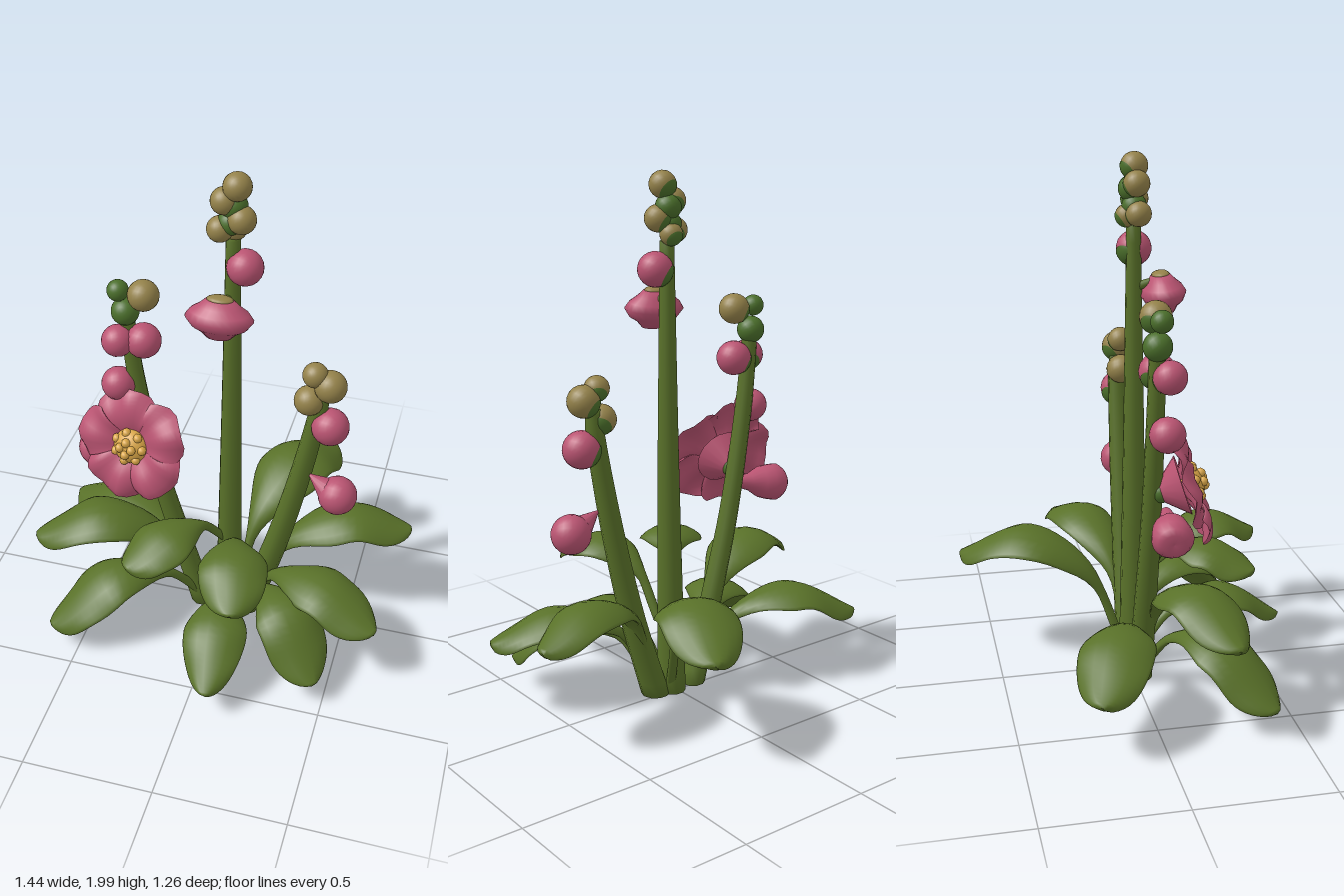
import * as THREE from 'three';

const V = (x, y, z) => new THREE.Vector3(x, y, z);
const UP = V(0, 1, 0);
const mat = (name, color, side = THREE.FrontSide) => {
  const m = new THREE.MeshStandardMaterial({ color, side });
  m.name = name;
  return m;
};

// Surface from rows of points, each row closed into a ring
function loft(rows, cols, point) {
  const pos = [], idx = [];
  for (let i = 0; i <= rows; i++)
    for (let j = 0; j < cols; j++) pos.push(...point(i / rows, j / cols * Math.PI * 2).toArray());
  for (let i = 0; i < rows; i++)
    for (let j = 0; j < cols; j++) {
      const k = (j + 1) % cols, a = i * cols + j, b = i * cols + k, c = a + cols, d = b + cols;
      idx.push(a, b, c, b, d, c);
    }
  const g = new THREE.BufferGeometry();
  g.setAttribute('position', new THREE.Float32BufferAttribute(pos, 3));
  g.setIndex(idx);
  g.computeVertexNormals();
  return g;
}

export function createModel() {
  const root = new THREE.Group();
  root.name = 'floweringPlant';
  const green = mat('leaf green', 0x597129, THREE.DoubleSide);
  const budGreen = mat('calyx green', 0x4b6f2b);
  const olive = mat('bud olive', 0x94824a);
  const pink = mat('petal pink', 0xba5472, THREE.DoubleSide);
  const yellow = mat('stamen yellow', 0xdca848);

  const add = (parent, name, geo, m) => {
    const mesh = new THREE.Mesh(geo, m);
    mesh.name = name;
    parent.add(mesh);
    return mesh;
  };
  const aim = (obj, dir) => obj.quaternion.setFromUnitVectors(UP, dir.clone().normalize());

  // Tapered stems with closed ends
  function stem(name, points, r0, r1) {
    const curve = new THREE.CatmullRomCurve3(points.map(p => V(...p)));
    add(root, name, loft(26, 10, (s, a) => {
      const t = THREE.MathUtils.clamp((s * 26 - 1) / 24, 0, 1);
      const r = s === 0 || s === 1 ? 0 : THREE.MathUtils.lerp(r0, r1, t);
      return curve.getPoint(t).add(V(Math.cos(a) * r, 0, -Math.sin(a) * r));
    }), green);
  }
  stem('middleStem', [[0.015, 0.01, 0.015], [0.025, 0.9, 0.02], [0.03, 1.75, 0.02]], 0.055, 0.026);
  stem('rightStem', [[-0.095, 0.01, 0.02], [-0.19, 0.36, 0.02], [-0.27, 0.68, 0.02],
    [-0.34, 1.1, 0.02], [-0.37, 1.42, 0.02]], 0.047, 0.028);
  stem('leftStem', [[0.09, 0.015, 0.02], [0.195, 0.35, 0.02], [0.29, 0.75, 0.02],
    [0.35, 1.08, 0.02], [0.36, 1.18, 0.02]], 0.055, 0.028);

  // Arching leaves: base, tip, peak height, half width, bluntness of the tip
  function leaf(base, tip, peak, half, blunt = 3) {
    const b = V(...base), e = V(...tip);
    const at = (f, y) => V(b.x + (e.x - b.x) * f, y, b.z + (e.z - b.z) * f);
    const curve = new THREE.CatmullRomCurve3(
      [b, at(0.24, b.y + (peak - b.y) * 0.74), at(0.6, peak), e]);
    const side = V(e.z - b.z, 0, b.x - e.x).normalize();
    add(root, 'leaf', loft(28, 18, (s, a) => {
      const t = 1 - Math.pow(1 - s, 1.5);
      let w = 0.018 + (half - 0.018) * THREE.MathUtils.smoothstep(t, 0.22, 0.64);
      if (t > 0.64) w *= Math.pow(Math.max(0, 1 - Math.pow((t - 0.64) / 0.36, blunt)), 0.55);
      const u = Math.cos(a), thick = Math.min(0.016, w * 0.9);
      const n = curve.getTangentAt(t).cross(side);
      const ripple = 0.008 * Math.sin(t * 22 + u * 2) * u * u * t;
      const crease = 0.008 * t * Math.exp(-u * u * 40);
      const lift = Math.sin(a) * thick - 0.34 * w * u * u + ripple - crease;
      return curve.getPointAt(t).addScaledVector(side, u * w).addScaledVector(n, lift);
    }), green);
  }
  [
    [[0.04, 0.06, -0.01], [0.31, 0.41, -0.625], 0.53, 0.147],
    [[-0.09, 0.06, 0.01], [-0.715, 0.24, -0.235], 0.37, 0.135],
    [[-0.1, 0.08, 0.02], [-0.715, 0.40, 0.24], 0.52, 0.13],
    [[-0.09, 0.05, 0.03], [-0.61, 0.09, 0.41], 0.29, 0.135],
    [[0.0, 0.40, 0.04], [-0.28, 0.49, 0.41], 0.57, 0.125],
    [[0.05, 0.30, 0.05], [0.165, 0.48, 0.53], 0.575, 0.13],
    [[0.03, 0.06, 0.04], [0.09, 0.13, 0.625], 0.28, 0.122, 1.9],
    [[0.1, 0.06, 0.03], [0.465, 0.11, 0.45], 0.32, 0.13],
    [[0.1, 0.08, 0.02], [0.66, 0.27, 0.28], 0.38, 0.13],
    [[0.1, 0.08, 0.01], [0.715, 0.41, -0.185], 0.5, 0.12],
  ].forEach(l => leaf(...l));

  // Round buds; calyx is the half angle of the green cap turned to the stem
  function bud(x, y, z, r, m, stemX, calyx) {
    const g = new THREE.Group();
    g.name = 'bud';
    g.position.set(x, y, z);
    add(g, 'budBall', new THREE.SphereGeometry(r, 20, 14), m);
    if (calyx)
      add(g, 'calyx', new THREE.SphereGeometry(r * 1.03, 20, 8, 0, Math.PI * 2, 0, calyx), budGreen);
    aim(g, V(stemX - x, -0.035, -0.05));
    root.add(g);
  }
  [
    [0.045, 1.948, 0.025, 0.05, olive, 0.03, 0.95], [0.0, 1.89, 0.025, 0.048, olive, 0.03, 0.95],
    [0.062, 1.83, 0.03, 0.05, olive, 0.03, 0.9], [-0.014, 1.785, 0.03, 0.046, olive, 0.03, 0.9],
    [0.03, 1.775, -0.005, 0.042, olive, 0.03, 0.9], [0.03, 1.87, 0.012, 0.048, budGreen, 0.03, 0],
    [0.02, 1.81, 0.02, 0.045, budGreen, 0.03, 0],
    [0.075, 1.65, 0.03, 0.065, pink, 0.03, 0.75],
    [-0.39, 1.48, 0.03, 0.04, budGreen, -0.37, 0], [-0.295, 1.475, 0.03, 0.058, olive, -0.36, 0.7],
    [-0.37, 1.39, 0.02, 0.052, budGreen, -0.37, 0], [-0.39, 1.285, 0.06, 0.06, pink, -0.355, 0.8],
    [-0.3, 1.285, 0.035, 0.066, pink, -0.36, 0.6], [-0.4, 1.085, 0.05, 0.064, pink, -0.34, 0],
    [0.335, 1.25, 0.03, 0.047, olive, 0.36, 0.8], [0.392, 1.21, 0.03, 0.06, olive, 0.36, 0.7],
    [0.317, 1.135, 0.03, 0.056, olive, 0.36, 0.8], [0.4, 1.035, 0.035, 0.07, pink, 0.34, 0.7],
    [0.445, 0.725, 0.045, 0.074, pink, 0.31, 0],
  ].forEach(b => bud(...b));

  // Pointed neck of the lowest bud
  const neck = add(root, 'budNeck', new THREE.ConeGeometry(0.06, 0.12, 14), pink);
  neck.position.set(0.375, 0.765, 0.04);
  aim(neck, V(-0.1, 0.07, -0.01));

  // Half-open blossom under the middle tip
  const lathe = (pts, seg) => new THREE.LatheGeometry(pts.map(p => new THREE.Vector2(...p)), seg);
  const half = new THREE.Group();
  half.name = 'halfOpenBlossom';
  add(half, 'closedPetals', lathe([[0.001, -0.078], [0.045, -0.072], [0.068, -0.048], [0.1, -0.03],
    [0.122, 0], [0.105, 0.024], [0.075, 0.045], [0.05, 0.068], [0.001, 0.074]], 24), pink);
  const cap = add(half, 'calyx', new THREE.SphereGeometry(0.048, 16, 8), olive);
  cap.scale.set(1, 0.3, 1);
  cap.position.y = 0.068;
  half.position.set(0.01, 1.495, 0.125);
  half.scale.z = 0.68;
  half.rotation.x = -0.15;
  root.add(half);
  const stalk = add(root, 'blossomStalk', new THREE.CylinderGeometry(0.014, 0.018, 0.1, 8), green);
  stalk.position.set(0.018, 1.53, 0.065);
  aim(stalk, V(-0.01, 0.03, 0.1));

  // Closing blossom at the flank of the right stem
  const bell = new THREE.Group();
  bell.name = 'sideBlossom';
  add(bell, 'bellPetals', lathe([[0.018, -0.17], [0.035, -0.1], [0.062, -0.05], [0.07, -0.01],
    [0.074, 0.025], [0.058, 0.05], [0.04, 0.066], [0.001, 0.062]], 18), pink);
  bell.position.set(-0.5, 0.755, 0.045);
  aim(bell, V(-1, -0.15, -0.1));
  root.add(bell);

  // Large open flower with recurved petals, facing +z before tilting
  const flower = new THREE.Group();
  flower.name = 'openFlower';
  for (let k = 0; k < 5; k++) {
    const petal = add(flower, 'petal', loft(14, 24, (s, v) => {
      const u = Math.cos(v), a = u * 0.74;
      const r = 0.02 + 0.203 * s * (1 - 0.2 * Math.pow(Math.abs(u), 3));
      const z = 0.055 * Math.sin(s * 2.5) - 0.025 + 0.012 * u * s
        + 0.017 * s * s * Math.sin(u * 6 + k * 1.7) + 0.018 * Math.sin(v) * Math.sqrt(1 - s * s);
      return V(Math.sin(a) * r, Math.cos(a) * r, z);
    }), pink);
    petal.rotation.z = k * Math.PI * 0.4 + 0.25;
  }
  const throat = add(flower, 'flowerThroat', new THREE.CylinderGeometry(0.11, 0.04, 0.08, 18), pink);
  throat.rotation.x = Math.PI / 2;
  throat.position.z = -0.05;
  const calyx = add(flower, 'flowerCalyx', new THREE.SphereGeometry(0.04, 16, 10), budGreen);
  calyx.position.z = -0.09;

  // Knobbly stamen cluster
  const core = add(flower, 'stamenCore', new THREE.SphereGeometry(0.068, 18, 12), yellow);
  core.scale.z = 0.75;
  core.position.z = 0.015;
  for (let i = 0; i < 11; i++) {
    const outer = i < 7, a = i * Math.PI * 2 / (outer ? 7 : 4);
    const r = outer ? 0.056 : 0.024;
    const knob = add(flower, 'stamenKnob', new THREE.SphereGeometry(0.018, 8, 6), yellow);
    knob.position.set(Math.cos(a) * r, Math.sin(a) * r, outer ? 0.038 : 0.062);
  }
  flower.position.set(-0.325, 0.875, 0.135);
  flower.quaternion.setFromUnitVectors(V(0, 0, 1), V(-0.17, 0.33, 1).normalize());
  root.add(flower);

  return root;
}
